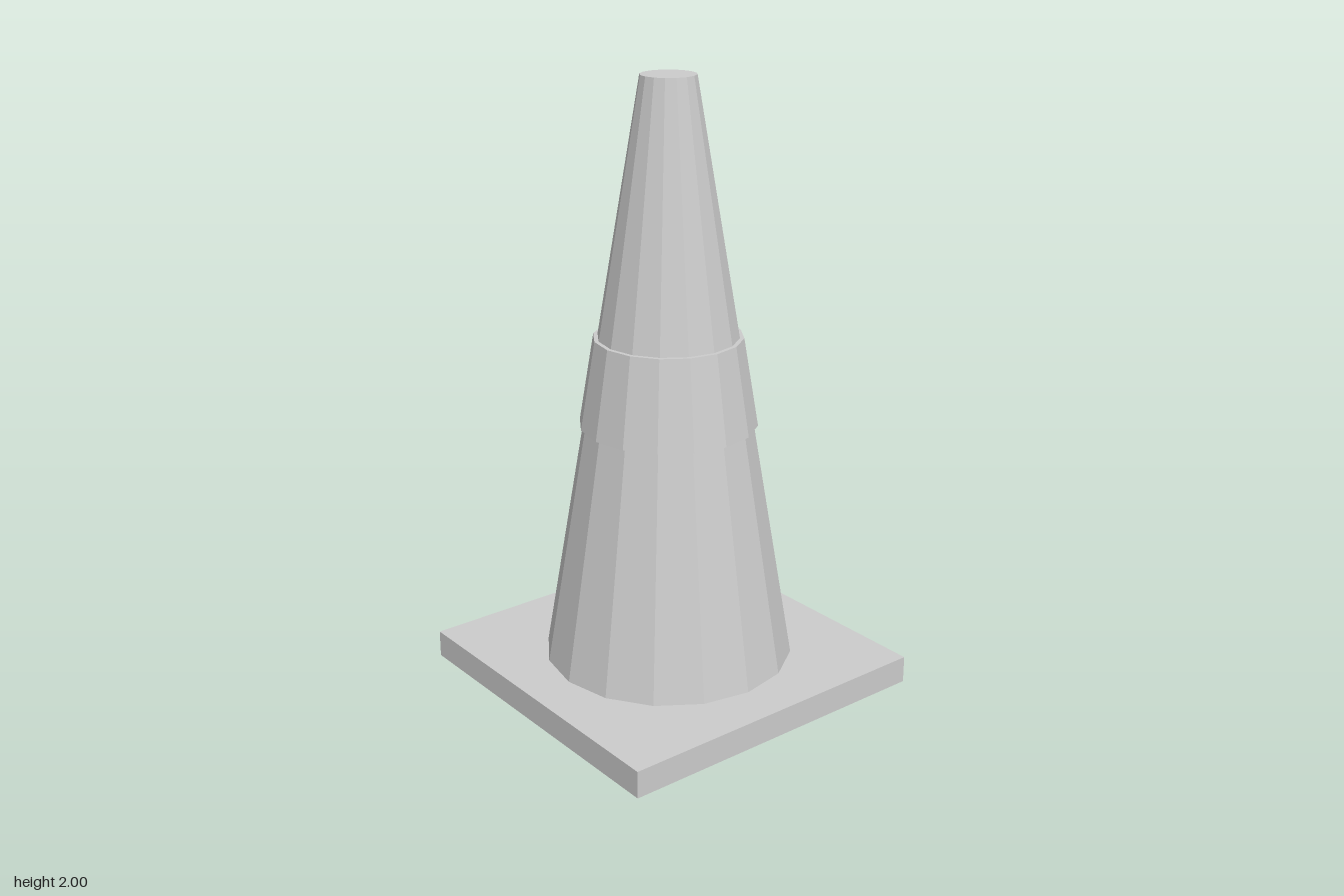
import * as THREE from 'three';

export function createModel() {
  const group = new THREE.Group();
  const grey = new THREE.MeshStandardMaterial({ color: 0xcccccc, flatShading: true });
  grey.name = 'light grey';

  const add = (name, geometry, y) => {
    const mesh = new THREE.Mesh(geometry, grey);
    mesh.name = name;
    mesh.position.y = y;
    group.add(mesh);
  };
  // Sixteen-sided tapered section between two heights
  const taper = (name, rTop, rBottom, y0, y1) =>
    add(name, new THREE.CylinderGeometry(rTop, rBottom, y1 - y0, 16), (y0 + y1) / 2);

  // Square foot plate
  add('base', new THREE.BoxGeometry(1.115, 0.09, 1.115), 0.045);
  // Tall body with a flat tip
  taper('cone', 0.088, 0.41, 0.09, 2);
  // Slightly raised band around the middle
  taper('sleeve', 0.24, 0.288, 0.89, 1.18);

  return group;
}
